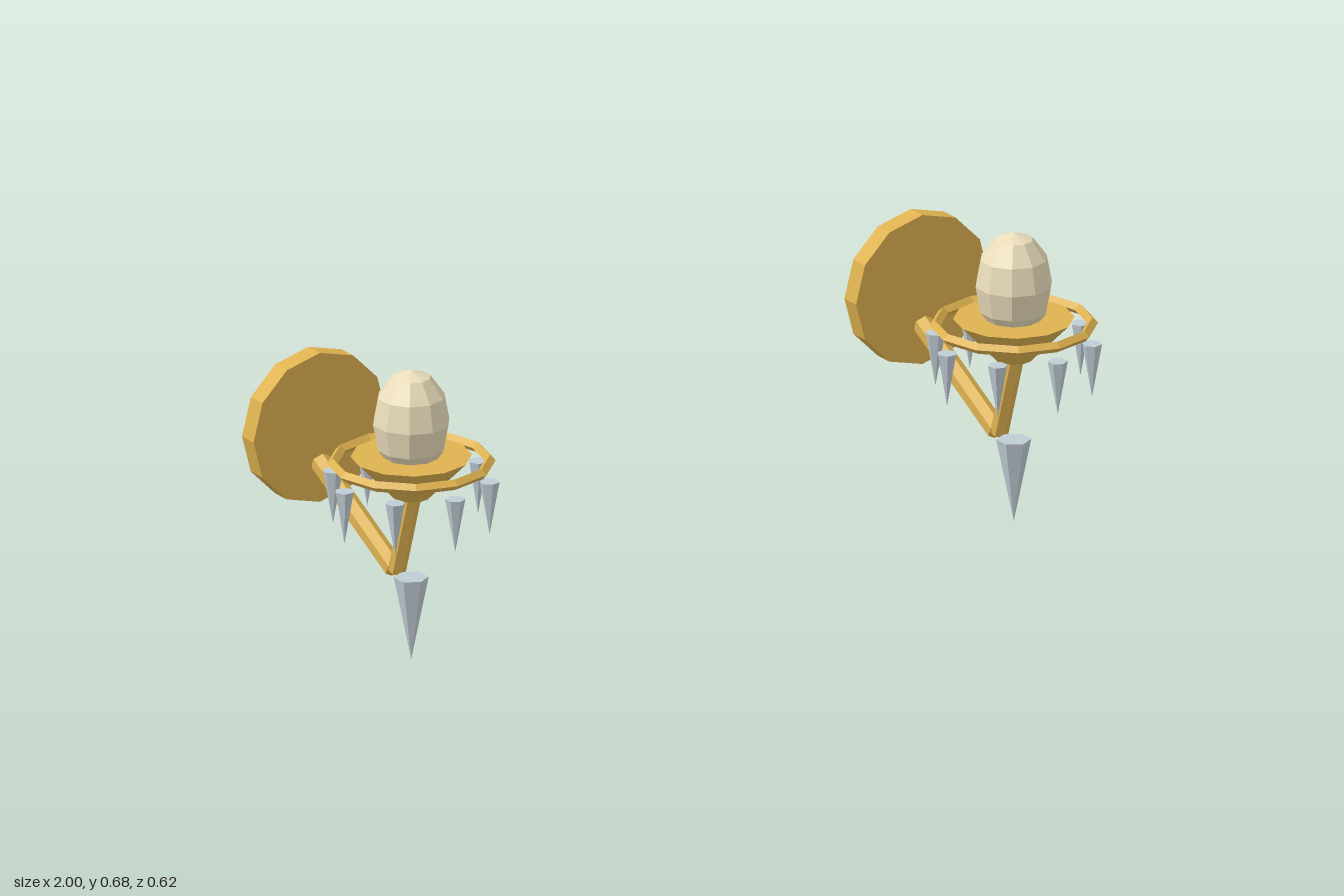
import * as THREE from 'three';

const material = (color) =>
  new THREE.MeshStandardMaterial({ color, flatShading: true });

export function createModel() {
  const gold = material(0xdeb250);
  const cream = material(0xeaddbb);
  const glass = material(0xc0ccd4);
  const LAMP_Z = 0.108; // lamp axis, in front of the wall plate

  function add(group, name, geometry, mat, x, y, z) {
    const mesh = new THREE.Mesh(geometry, mat);
    mesh.name = name;
    mesh.position.set(x, y, z);
    group.add(mesh);
    return mesh;
  }

  // Six-sided rod between two points given as [y, z]
  function rod(group, name, a, b, radius) {
    const from = new THREE.Vector3(0, ...a);
    const to = new THREE.Vector3(0, ...b);
    const dir = to.clone().sub(from);
    const mid = from.clone().lerp(to, 0.5);
    const geometry = new THREE.CylinderGeometry(radius, radius, dir.length(), 6);
    const mesh = add(group, name, geometry, gold, mid.x, mid.y, mid.z);
    mesh.quaternion.setFromUnitVectors(new THREE.Vector3(0, 1, 0), dir.normalize());
  }

  // Six-sided spike pointing down, its flat end at y = top
  function crystal(group, name, radius, top, bottom, x, z, angle) {
    const geometry = new THREE.ConeGeometry(radius, top - bottom, 6);
    geometry.rotateX(Math.PI).rotateY(angle);
    add(group, name, geometry, glass, x, (top + bottom) / 2, z);
  }

  function createSconce() {
    const sconce = new THREE.Group();

    // Round wall plate
    const plate = new THREE.CylinderGeometry(0.176, 0.176, 0.047, 12).rotateX(Math.PI / 2);
    add(sconce, 'wallPlate', plate, gold, 0, 0.434, -0.2835);

    // Bent arm
    rod(sconce, 'lowerArm', [0.194, 0.042], [0.3545, -0.26], 0.0235);
    rod(sconce, 'upperArm', [0.1915, 0.05], [0.385, 0.112], 0.0205);

    // Cup, bulb and loose ring
    add(sconce, 'cup', new THREE.CylinderGeometry(0.135, 0.042, 0.096, 12), gold, 0, 0.433, LAMP_Z);
    const bulb = new THREE.SphereGeometry(0.0877, 10, 6).rotateY(Math.PI / 2).scale(1, 1.4, 1);
    add(sconce, 'bulb', bulb, cream, 0, 0.561, LAMP_Z);
    const ring = new THREE.TorusGeometry(0.175, 0.0125, 4, 12).rotateX(Math.PI / 2);
    add(sconce, 'ring', ring, gold, 0, 0.466, LAMP_Z);

    // Hanging crystals around the ring
    for (let i = 0; i < 8; i++) {
      const a = (i * Math.PI) / 4;
      crystal(sconce, 'hangingCrystal', 0.0227, 0.433, 0.308,
        0.1773 * Math.sin(a), LAMP_Z + 0.1773 * Math.cos(a), a);
    }
    // Large crystal at the bottom
    crystal(sconce, 'bottomCrystal', 0.039, 0.194, 0, 0, LAMP_Z, 0);
    return sconce;
  }

  const model = new THREE.Group();
  model.name = 'wallSconces';
  for (const side of [-1, 1]) {
    const sconce = createSconce();
    sconce.name = side < 0 ? 'rightSconce' : 'leftSconce';
    sconce.position.x = side * 0.8;
    model.add(sconce);
  }
  return model;
}
